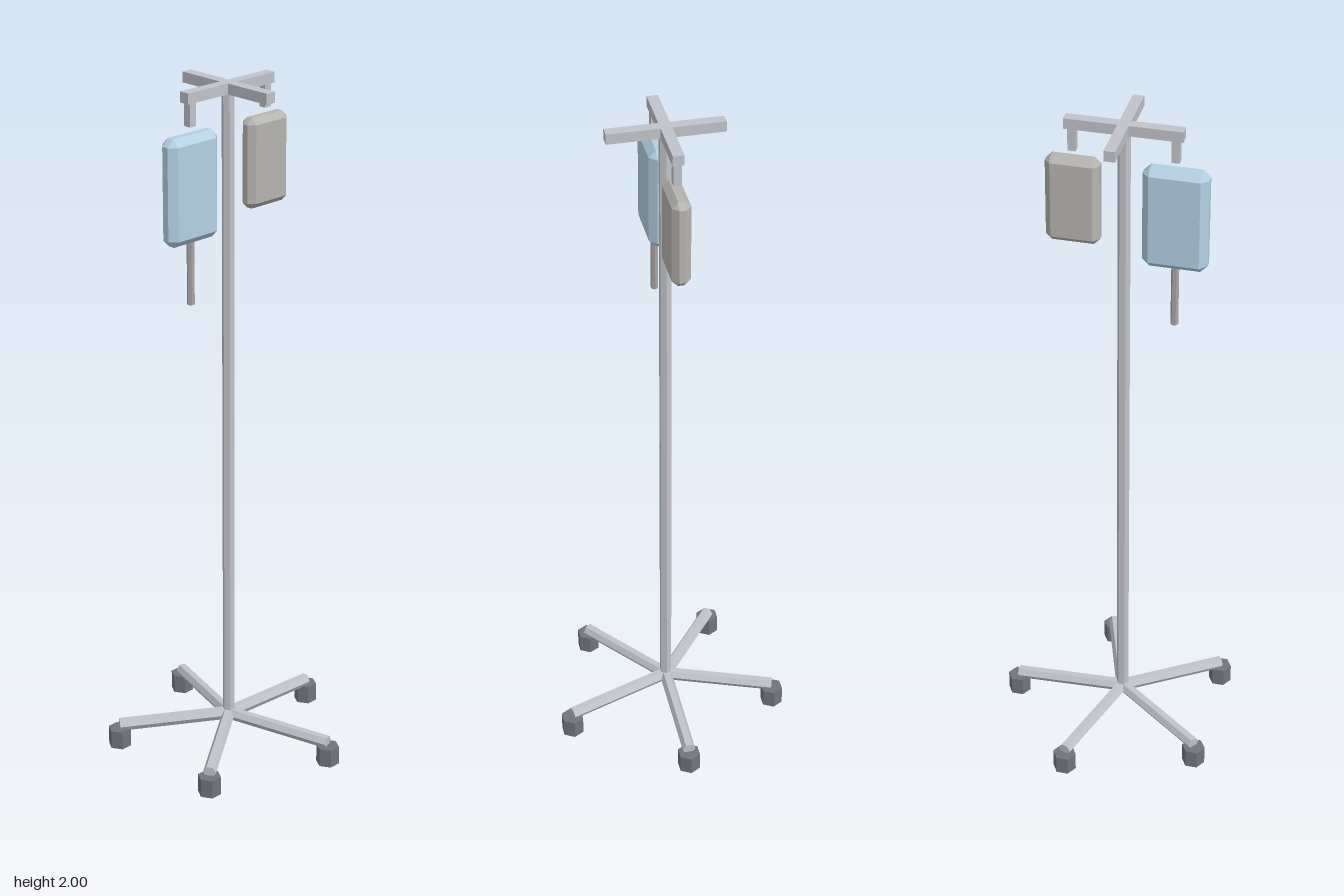
import * as THREE from 'three';
import { ConvexGeometry } from 'three/addons/geometries/ConvexGeometry.js';

const CX = -0.031; // pole axis, offset so the five-legged base is centred

const mat = (color) => new THREE.MeshStandardMaterial({ color, flatShading: true });

// Box with every edge and corner cut by c
function chamferedBox(w, h, d, c) {
  const half = [w / 2, h / 2, d / 2];
  const points = [];
  for (const sx of [-1, 1]) for (const sy of [-1, 1]) for (const sz of [-1, 1]) {
    for (let full = 0; full < 3; full++) {
      const p = half.map((v, i) => (i === full ? v : v - c));
      points.push(new THREE.Vector3(p[0] * sx, p[1] * sy, p[2] * sz));
    }
  }
  return new ConvexGeometry(points);
}

export function createModel() {
  const group = new THREE.Group();
  const metal = mat(0xc0c3ca);
  const rubber = mat(0x70747e);
  const blue = mat(0xb4d0e2);
  const grey = mat(0xb6b4b0);
  const tubeMat = mat(0xa8a5a3);

  const add = (name, geometry, material, x, y, z = 0, parent = group) => {
    const mesh = new THREE.Mesh(geometry, material);
    mesh.name = name;
    mesh.position.set(x, y, z);
    parent.add(mesh);
    return mesh;
  };

  // Hexagonal prism with corners pointing along x
  const hex = (r, h) => new THREE.CylinderGeometry(r, r, h, 6).rotateY(Math.PI / 2);

  // Base: five sloping legs, each ending on a caster
  const R = 0.326, inner = 0.08, outer = 0.066;
  const legLength = Math.hypot(R, inner - outer);
  const legGeo = new THREE.CylinderGeometry(0.019, 0.019, legLength, 6)
    .rotateZ(-Math.PI / 2)
    .translate(legLength / 2, 0, 0)
    .rotateZ(-Math.atan2(inner - outer, R));
  const casterGeo = hex(0.034, 0.056);
  for (let i = 0; i < 5; i++) {
    const a = (i * Math.PI * 2) / 5;
    add('leg', legGeo, metal, CX, inner, 0).rotation.y = a;
    add('caster', casterGeo, rubber, CX + R * Math.cos(a), 0.028, -R * Math.sin(a));
  }

  // Pole
  add('pole', hex(0.018, 1.91), metal, CX, 1.025);

  // Crossed bars at the top
  add('crossbar', new THREE.BoxGeometry(0.322, 0.03, 0.031), metal, CX, 1.985);
  add('depthCrossbar', new THREE.BoxGeometry(0.031, 0.03, 0.322), metal, CX, 1.985);

  // Hooks under the crossbar
  for (const s of [-1, 1]) {
    add('hook', new THREE.BoxGeometry(0.022, 0.07, 0.022), metal, CX + s * 0.14, 1.94);
  }

  // Bags and the drip tube
  add('fluidBag', chamferedBox(0.18, 0.3, 0.06, 0.02), blue, -0.173, 1.735);
  add('dripTube', hex(0.011, 0.19), tubeMat, -0.173, 1.5);
  add('smallBag', chamferedBox(0.15, 0.256, 0.052, 0.017), grey, 0.108, 1.757);

  return group;
}
